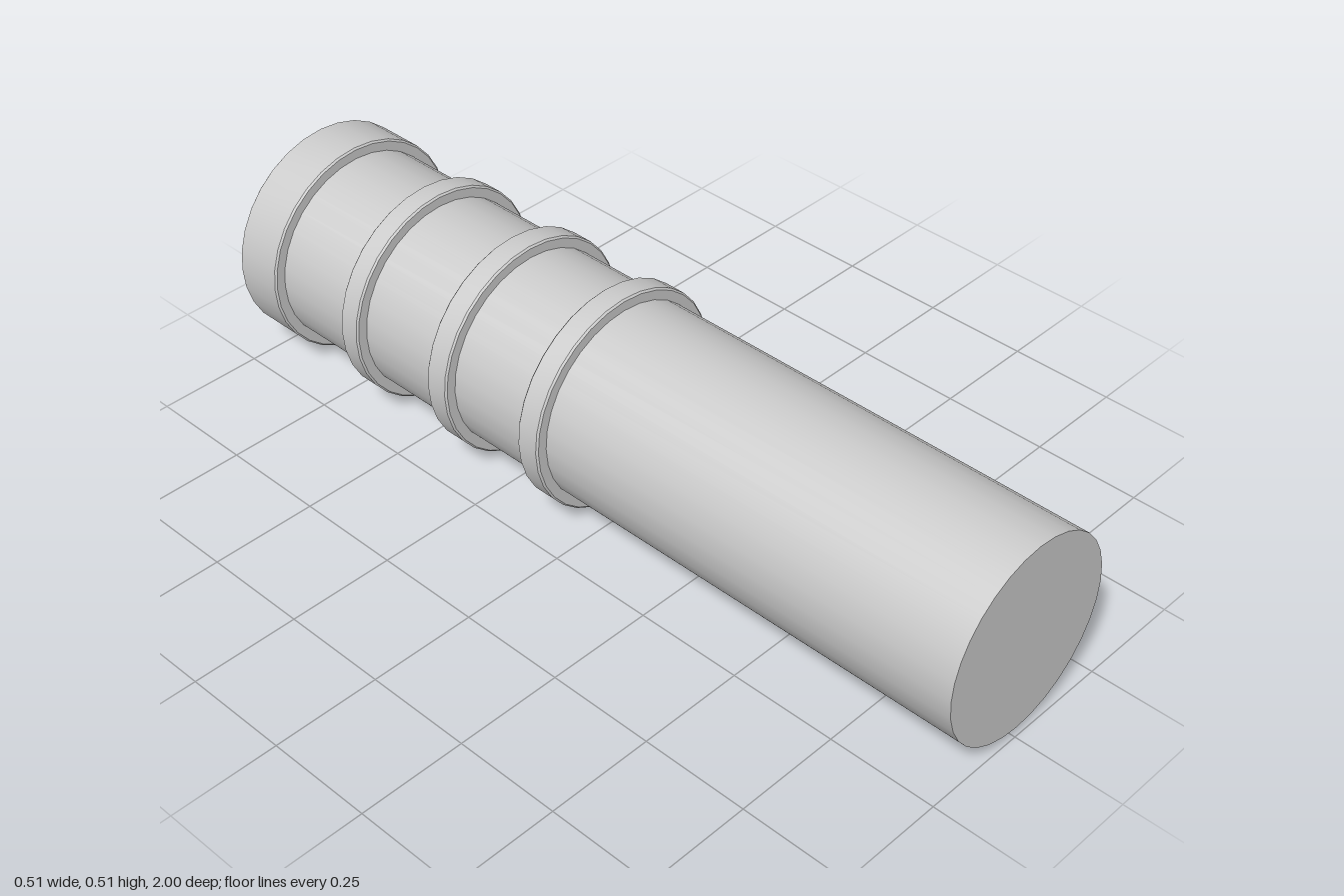
import * as THREE from 'three';
import { toCreasedNormals } from 'three/addons/utils/BufferGeometryUtils.js';

const SIDES = 32;
const TUBE_R = 0.229, BORE_R = 0.198, RING_R = 0.255, BEVEL = 0.004;

export function createModel() {
  const model = new THREE.Group();
  const material = new THREE.MeshStandardMaterial({ color: 0xcccccc });

  // Revolve a [radius, z] profile around the z axis, keeping corners sharp
  const turned = (name, profile) => {
    const points = profile.map(([r, z]) => new THREE.Vector2(r, z));
    const geometry = new THREE.LatheGeometry(points, SIDES).rotateX(Math.PI / 2);
    const mesh = new THREE.Mesh(toCreasedNormals(geometry, Math.PI / 6), material);
    mesh.name = name;
    mesh.position.y = RING_R;
    model.add(mesh);
  };

  // Hollow tube, closed at the front and open at the back
  turned('tube', [
    [0, 0.97], [BORE_R, 0.97], [BORE_R, -1],
    [TUBE_R, -1], [TUBE_R, 1], [0, 1],
  ]);

  // Raised bands with finely bevelled edges
  const bands = [
    ['frontRing', -0.103, -0.045],
    ['middleRing', -0.378, -0.319],
    ['backRing', -0.656, -0.601],
    ['endCollar', -1, -0.877],
  ];
  for (const [name, back, front] of bands) {
    turned(name, [
      [TUBE_R, back], [RING_R - BEVEL, back], [RING_R, back + BEVEL],
      [RING_R, front - BEVEL], [RING_R - BEVEL, front], [TUBE_R, front],
    ]);
  }

  return model;
}
